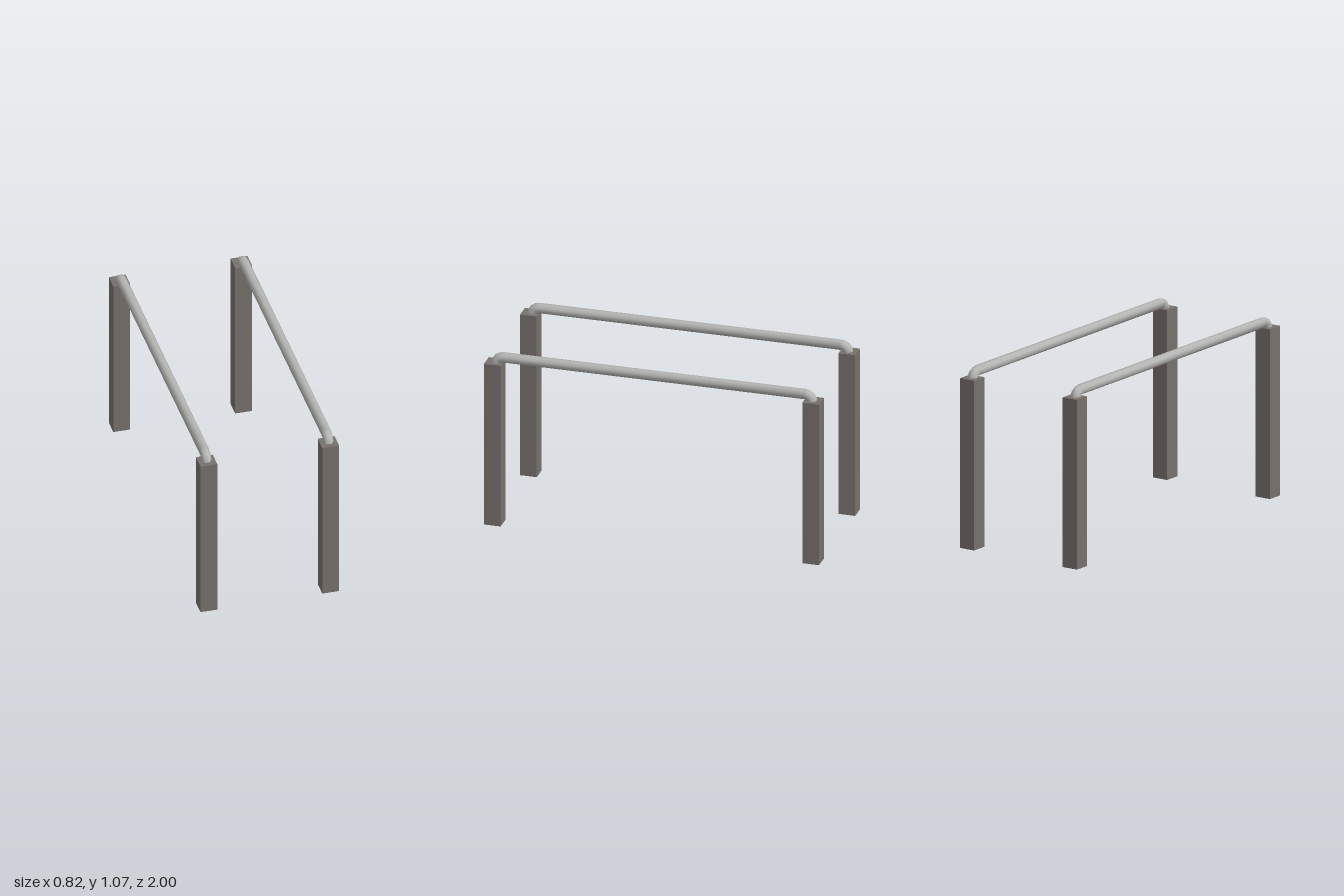
import * as THREE from 'three';

const POST_HEIGHT = 1.005, POST_WIDTH = 0.1;
const POST_X = 0.361, POST_Z = 0.95;
const RAIL_RADIUS = 0.03, RAIL_Y = 1.038, BEND = 0.045, SIDES = 8, BEND_STEPS = 4;

// Tube swept along z with a quarter bend down into the post at each end
function railGeometry() {
  const rings = [];
  const addRing = (y, z, angle) => rings.push({ y, z, angle });
  const cz = POST_Z - 0.005 - BEND, cy = RAIL_Y - BEND;
  // angle 0 = outward direction along z, PI / 2 = straight up
  for (const end of [1, -1]) {
    addRing(0.96, end * (cz + BEND), end > 0 ? 0 : Math.PI);
    for (let i = 0; i <= BEND_STEPS; i++) {
      const a = (i / BEND_STEPS) * Math.PI / 2;
      addRing(cy + BEND * Math.sin(a), end * (cz + BEND * Math.cos(a)), end > 0 ? a : Math.PI - a);
    }
    if (end < 0) rings.push(...rings.splice(BEND_STEPS + 2).reverse());
  }

  const positions = [], index = [];
  rings.forEach(({ y, z, angle }, r) => {
    for (let s = 0; s < SIDES; s++) {
      const t = ((s + 0.5) / SIDES) * Math.PI * 2;
      const out = RAIL_RADIUS * Math.cos(t);
      positions.push(RAIL_RADIUS * Math.sin(t), y + out * Math.sin(angle), z + out * Math.cos(angle));
      if (r === 0) continue;
      const n = (s + 1) % SIDES;
      const a = (r - 1) * SIDES + s, b = (r - 1) * SIDES + n;
      const c = r * SIDES + s, d = r * SIDES + n;
      index.push(a, b, c, b, d, c);
    }
  });
  const geometry = new THREE.BufferGeometry();
  geometry.setAttribute('position', new THREE.Float32BufferAttribute(positions, 3));
  geometry.setIndex(index);
  geometry.computeVertexNormals();
  return geometry;
}

export function createModel() {
  const model = new THREE.Group();
  model.name = 'parallelBars';
  const postMaterial = new THREE.MeshStandardMaterial({ color: 0x78716d });
  postMaterial.name = 'weathered post';
  const railMaterial = new THREE.MeshStandardMaterial({ color: 0xb4b4b2 });
  railMaterial.name = 'grey metal';

  const postGeometry = new THREE.BoxGeometry(POST_WIDTH, POST_HEIGHT, POST_WIDTH);
  const barGeometry = railGeometry();

  for (const [side, sx] of [['left', 1], ['right', -1]]) {
    // Handrail
    const rail = new THREE.Mesh(barGeometry, railMaterial);
    rail.name = side + 'Rail';
    rail.position.x = sx * POST_X;
    model.add(rail);

    // Square posts
    for (const [end, sz] of [['Front', 1], ['Back', -1]]) {
      const post = new THREE.Mesh(postGeometry, postMaterial);
      post.name = side + end + 'Post';
      post.position.set(sx * POST_X, POST_HEIGHT / 2, sz * POST_Z);
      model.add(post);
    }
  }
  return model;
}
